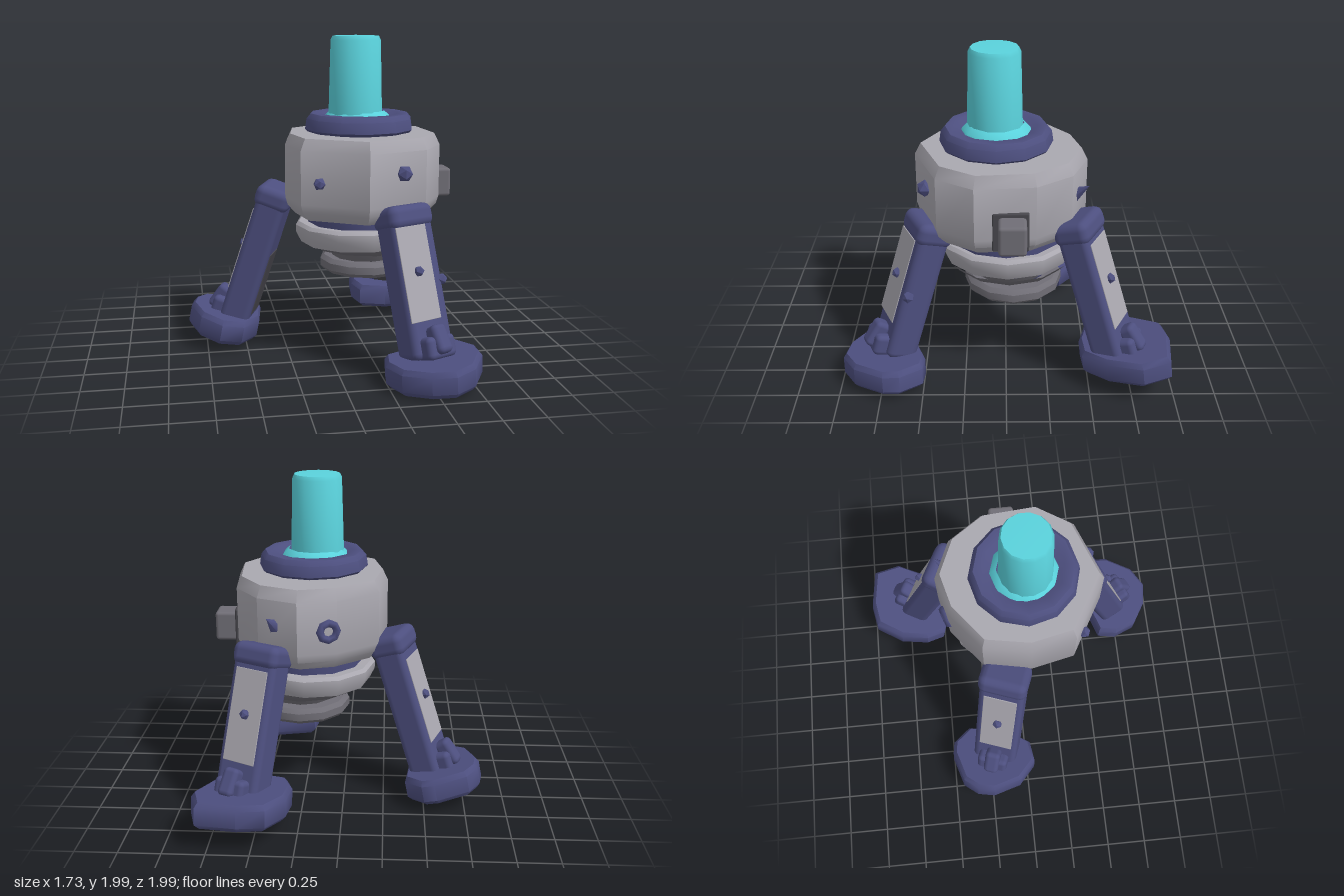
import * as THREE from 'three';
import { toCreasedNormals } from 'three/addons/utils/BufferGeometryUtils.js';
import { RoundedBoxGeometry } from 'three/addons/geometries/RoundedBoxGeometry.js';

const material = (name, color) => {
  const m = new THREE.MeshStandardMaterial({ color });
  m.name = name;
  return m;
};

const V = (x, y, z) => new THREE.Vector3(x, y, z);

// Stack scaled copies of a closed outline around (cx, cz); levels are [y, scale].
function loft(outline, cx, cz, levels, crease) {
  const n = outline.length, pos = [], idx = [];
  for (const [y, s] of levels)
    for (const [x, z] of outline) pos.push(cx + (x - cx) * s, y, cz + (z - cz) * s);
  for (let l = 0; l < levels.length - 1; l++)
    for (let i = 0; i < n; i++) {
      const j = (i + 1) % n, a = l * n + i, b = l * n + j;
      if (levels[l][1] > 0) idx.push(a, a + n, b);
      if (levels[l + 1][1] > 0) idx.push(b, a + n, b + n);
    }
  const g = new THREE.BufferGeometry();
  g.setAttribute('position', new THREE.Float32BufferAttribute(pos, 3));
  g.setIndex(idx);
  return toCreasedNormals(g, crease);
}

// Place an object with its y axis along up and its z axis facing outward.
function orient(obj, up, out) {
  const y = up.clone().normalize();
  const x = y.clone().cross(out).normalize();
  obj.quaternion.setFromRotationMatrix(new THREE.Matrix4().makeBasis(x, y, x.clone().cross(y)));
  return obj;
}

export function createModel() {
  const grey = material('light grey', 0xaaa8b0);
  const mid = material('mid grey', 0x706e76);
  const dark = material('dark grey', 0x48474d);
  const navy = material('navy', 0x4d4f7f);
  const cyan = material('cyan', 0x5ad2dc);

  const model = new THREE.Group();
  const add = (parent, name, geo, mat, x = 0, y = 0, z = 0) => {
    const m = new THREE.Mesh(geo, mat);
    m.name = name;
    m.position.set(x, y, z);
    parent.add(m);
    return m;
  };
  const box = (w, h, d, r) => new RoundedBoxGeometry(w, h, d, 2, r);
  const stud = (r) => new THREE.IcosahedronGeometry(r, 0);

  // Faceted main body with chamfered rims
  const outline = [[0.26, -0.48], [0.5, -0.38], [0.65, -0.17], [0.68, 0.18], [0.54, 0.4],
    [0.17, 0.54], [-0.2, 0.33], [-0.26, 0.06], [-0.21, -0.23], [0.03, -0.42]];
  add(model, 'body', loft(outline, 0.21, 0.03,
    [[0.915, 0], [0.915, 0.87], [0.97, 0.97], [1.02, 1], [1.34, 1], [1.41, 0.93], [1.41, 0]], 0.6), grey);

  // Turned parts, each with its own centre
  const lathe = (name, x, z, pts, mat, seg = 12) => add(model, name, toCreasedNormals(
    new THREE.LatheGeometry(pts.map(([r, y]) => new THREE.Vector2(r, y)), seg), 0.7), mat, x, 0, z);

  lathe('bottomRing', 0.27, -0.045, [[0, 0.52], [0.27, 0.52], [0.295, 0.545], [0.295, 0.59], [0.27, 0.615], [0.2, 0.615]], mid);
  lathe('lowerCone', 0.26, -0.02, [[0.2, 0.6], [0.24, 0.665], [0.34, 0.685], [0.38, 0.73]], mid);
  const ring = lathe('upperRing', 0.25, -0.01, [[0.3, 0.7], [0.385, 0.725], [0.415, 0.79],
    [0.415, 0.835], [0.395, 0.855], [0.3, 0.85]], grey);
  ring.rotation.z = 0.025;
  lathe('neck', 0.24, 0, [[0.35, 0.83], [0.36, 0.95]], navy);
  lathe('collar', 0.2, 0.055, [[0.2, 1.4], [0.32, 1.42], [0.335, 1.435], [0.325, 1.5], [0.3, 1.53],
    [0.24, 1.53], [0.2, 1.5], [0, 1.5]], navy);
  lathe('barrelBase', 0.19, 0.055, [[0.21, 1.495], [0.2, 1.515], [0.165, 1.545]], cyan, 10);
  lathe('barrel', 0.175, 0.063, [[0.165, 1.48], [0.152, 1.97], [0.14, 1.995], [0, 2]], cyan, 14);

  // Side block in its dark frame
  add(model, 'sideFrame', box(0.03, 0.24, 0.21, 0.01), dark, 0.66, 1.07, -0.025);
  add(model, 'sideBlock', box(0.18, 0.18, 0.16, 0.02), mid, 0.71, 1.075, -0.035);

  // Small fittings on the body
  for (const [x, y, z, r] of [[-0.1, 1.155, 0.4, 0.038], [0.39, 1.215, 0.47, 0.05]])
    add(model, 'bodyStud', stud(r), navy, x, y, z);
  const peg = add(model, 'backPeg', new THREE.ConeGeometry(0.055, 0.14, 6), navy, 0.41, 1.205, -0.43);
  orient(peg, V(0.3, 0.5, -0.6), V(0, 0, -1));
  const port = add(model, 'backPort', new THREE.TorusGeometry(0.052, 0.024, 6, 8), navy, 0.08, 1.16, -0.435);
  orient(port, V(0, 1, 0), V(-0.35, 0, -0.92));

  // Three legs: top, ankle, panel shift, foot centre, the foot's up direction and its ground outline
  const legs = [
    { name: 'frontLeg', top: V(0.375, 1.02, 0.44), end: V(0.485, 0.17, 0.69), shift: -0.03, foot: V(0.52, 0.11, 0.74), up: V(-0.06, 1, 0.02), extra: true,
      pad: [[0.23, 0.74], [0.25, 0.62], [0.61, 0.49], [0.72, 0.5], [0.81, 0.63], [0.81, 0.73], [0.71, 0.91], [0.58, 0.99], [0.44, 0.97], [0.29, 0.88]] },
    { name: 'rightLeg', top: V(-0.275, 1.06, -0.1), end: V(-0.555, 0.17, -0.2), shift: 0, foot: V(-0.62, 0.155, -0.22), up: V(0.2, 1, 0.05),
      pad: [[-0.86, -0.24], [-0.84, -0.35], [-0.77, -0.44], [-0.57, -0.5], [-0.49, -0.49], [-0.39, -0.38], [-0.42, -0.13], [-0.53, 0.03], [-0.67, 0.05], [-0.8, -0.06]] },
    { name: 'backLeg', top: V(0.455, 1.07, -0.405), end: V(0.585, 0.2, -0.665), shift: 0, foot: V(0.58, 0.2, -0.72), up: V(-0.02, 1, 0.12),
      pad: [[0.29, -0.62], [0.31, -0.8], [0.41, -0.97], [0.57, -1], [0.81, -0.97], [0.86, -0.8], [0.77, -0.59], [0.65, -0.46], [0.5, -0.45], [0.33, -0.5]] },
  ];
  for (const { name, top, end, shift, foot, up, extra, pad } of legs) {
    const dir = top.clone().sub(end), len = dir.length();
    const out = V(-dir.x, 0, -dir.z).normalize();

    // Leg frame starts at the ankle; y runs up the shaft, z faces outward
    const leg = new THREE.Group();
    leg.name = name;
    leg.position.copy(end);
    orient(leg, dir, out);
    model.add(leg);
    add(leg, 'shaft', box(0.29, len, 0.19, 0.04), navy, 0, len / 2, 0);
    add(leg, 'cap', box(0.31, 0.14, 0.225, 0.05), navy, 0, len - 0.07, 0);
    add(leg, 'outerPanel', box(0.215, 0.55, 0.008, 0.003), grey, shift, 0.49, 0.096);
    add(leg, 'innerPanel', box(0.18, 0.42, 0.008, 0.003), dark, 0, 0.3, -0.096);
    add(leg, 'panelStud', stud(0.032), navy, shift, 0.5, 0.105);
    if (extra) add(leg, 'edgeStud', stud(0.036), navy, 0.145, 0.43, 0.075);
    add(leg, 'ankleBlock', box(0.2, 0.13, 0.18, 0.03), navy, 0, 0.06, 0.08);
    const ankle = add(leg, 'anklePeg', box(0.1, 0.17, 0.1, 0.03), navy, 0, 0.1, 0.14);
    ankle.rotation.x = -0.3;

    // Tilted foot plate with a sole underneath
    const plate = new THREE.Group();
    plate.name = name + 'Foot';
    plate.position.copy(foot);
    orient(plate, up, V(0, 0, 1));
    model.add(plate);
    const shape = pad.map(([x, z]) => [x - foot.x, z - foot.z]);
    add(plate, 'footPlate', loft(shape, 0, 0,
      [[-0.08, 0], [-0.08, 0.9], [-0.05, 1], [0.05, 1], [0.08, 0.92], [0.08, 0]], 0.75), navy);
    add(plate, 'sole', loft(shape, 0, 0, [[-0.084, 0], [-0.084, 0.8], [-0.079, 0.8]], 0.5), dark);
  }
  return model;
}
